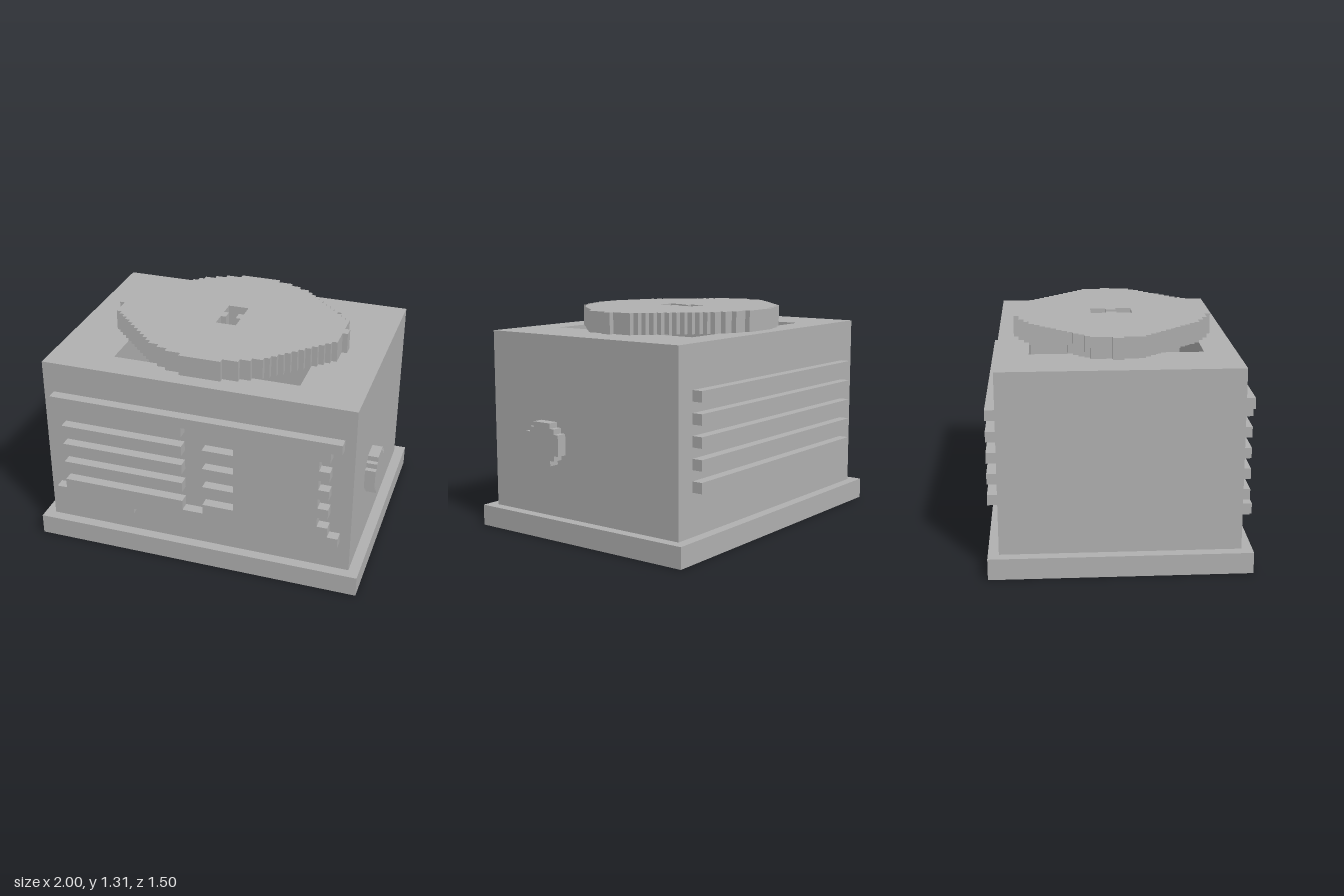
import * as THREE from 'three';

// All sizes below are in small grid cells
const U = 1 / 32;

export function createModel() {
  const model = new THREE.Group();
  model.name = 'boxAppliance';
  const grey = new THREE.MeshStandardMaterial({ color: 0xb0b0b0 });
  grey.name = 'grey';

  function add(name, geometry, x = 0, y = 0, z = 0) {
    const mesh = new THREE.Mesh(geometry, grey);
    mesh.name = name;
    mesh.position.set(x * U, y * U, z * U);
    model.add(mesh);
    return mesh;
  }
  const box = (w, h, d) => new THREE.BoxGeometry(w * U, h * U, d * U);
  const toPoints = list => list.map(([x, y]) => new THREE.Vector2(x * U, y * U));
  const extrude = (shape, depth) =>
    new THREE.ExtrudeGeometry(shape, { depth: depth * U, bevelEnabled: false });

  // Stepped outline mirrored in both axes, from [half width, upper height] bands
  function steppedOutline(bands) {
    const q = [];
    let low = 0;
    for (const [w, h] of bands) {
      if (low > 0) q.push([w, low]);
      q.push([w, h]);
      low = h;
    }
    const r = [...q].reverse();
    return toPoints([
      ...q, ...r.map(([x, y]) => [-x, y]),
      ...q.map(([x, y]) => [-x, -y]), ...r.map(([x, y]) => [x, -y]),
    ]);
  }

  // Right-angled outline from alternating x and y moves
  function rightAngled(x, y, moves) {
    const list = [[x, y]];
    moves.forEach((m, i) => {
      if (i % 2) y = m; else x = m;
      list.push([x, y]);
    });
    return new THREE.Shape(toPoints(list));
  }

  // Base slab
  add('base', box(64, 4, 48), 0, 2, 0);

  // Body with a square well in the top
  const bodyShape = new THREE.Shape(steppedOutline([[30, 22]]));
  bodyShape.holes.push(new THREE.Path(steppedOutline([[18, 16]])));
  add('body', extrude(bodyShape, 34).rotateX(-Math.PI / 2), 0, 4, 0);
  add('wellFloor', box(36, 12, 32), 0, 10, 0);

  // Stepped lid disc with a keyhole slot
  const bands = [[23, 1], [22, 5]];
  for (let i = 0; i < 11; i++) bands.push([21 - i, 6 + i]);
  bands.push([9, 17], [7, 18], [4, 19]);
  const lidShape = new THREE.Shape(steppedOutline(bands));
  lidShape.holes.push(new THREE.Path(steppedOutline([[1, 1], [2, 4]])));
  add('lid', extrude(lidShape, 4).rotateX(-Math.PI / 2), 0, 38, 0);

  // Front panel: toothed right edge, and a slotted opening in the middle
  const moves = [28, 30, 26, 28];
  for (const t of [28, 24, 20, 16]) moves.push(24, t - 2, 26, t - 4);
  moves.push(28, 10, -12, 9, -26, 10, -28, 12, -26, 14, -2, 12, 2, 14);
  for (const b of [14, 18, 22, 26]) moves.push(8, b + 2, 2, b + 4);
  moves.push(-2, 28, -26, 30, -28);
  add('frontPanel', extrude(rightAngled(-28, 32, moves), 2), 0, 0, 22);

  // Loose slats on the front
  for (const y of [17, 21, 25]) add('frontSlat', box(24, 2, 2), -14, y, 23);

  // Vent slats on the back
  for (let i = 0; i < 5; i++) add('backSlat', box(52, 2, 2), 0, 13 + 4 * i, -23);

  // Side knob
  const knobShape = new THREE.Shape(steppedOutline([[4, 2], [3, 3], [2, 4]]));
  add('sideKnob', extrude(knobShape, 2).rotateY(Math.PI / 2), 30, 18, 8);

  return model;
}
